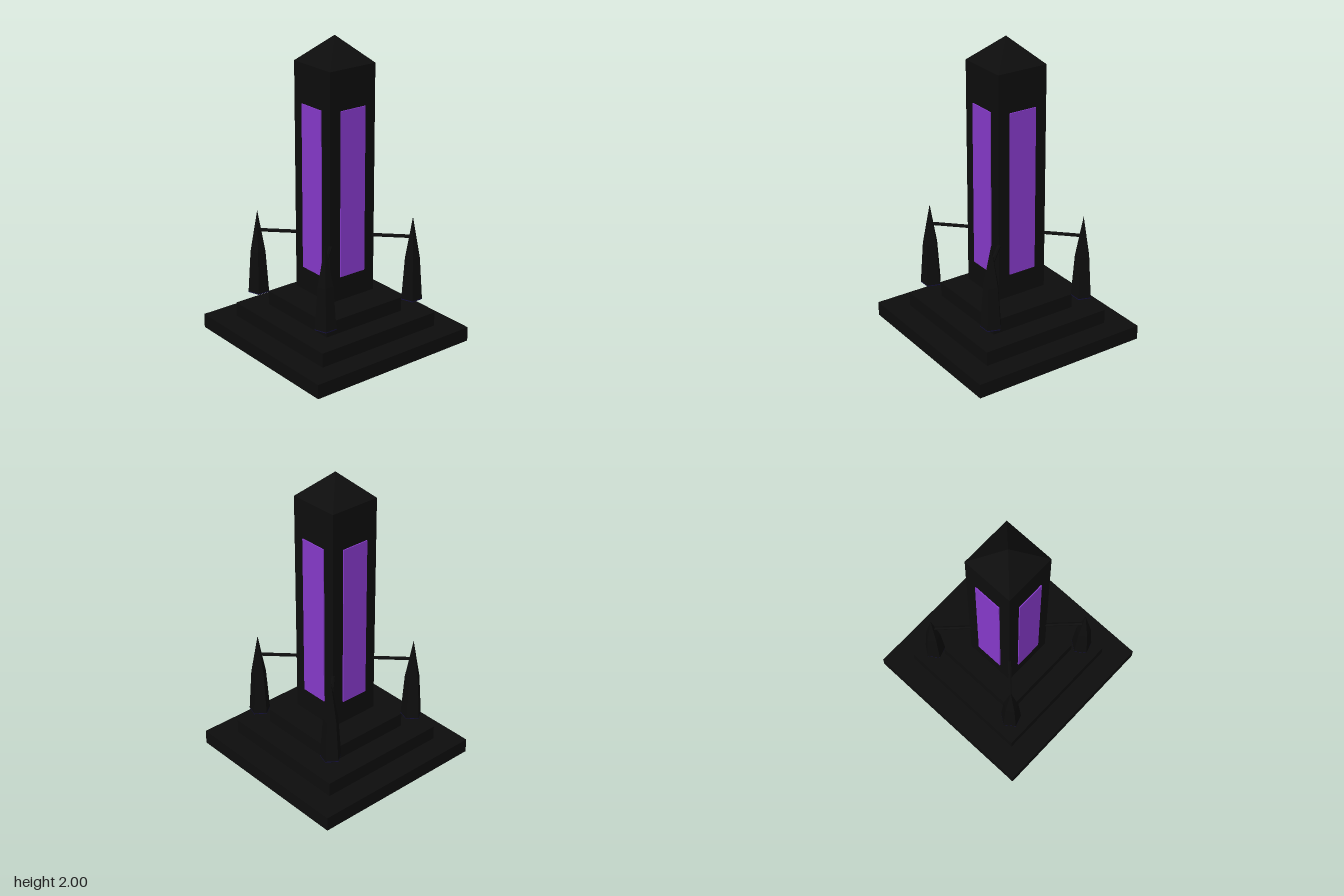
import * as THREE from 'three';

export function createModel() {
  const model = new THREE.Group();
  model.name = 'obelisk';

  const material = (name, color) => {
    const m = new THREE.MeshStandardMaterial({ color, flatShading: true });
    m.name = name;
    return m;
  };
  const black = material('black stone', 0x0d0d0d);
  const purple = material('glowing purple', 0x873acc);
  const navy = material('dark navy', 0x14103c);

  const add = (parent, name, geometry, mat, x = 0, y = 0, z = 0) => {
    const mesh = new THREE.Mesh(geometry, mat);
    mesh.name = name;
    mesh.position.set(x, y, z);
    parent.add(mesh);
    return mesh;
  };

  // Stepped base
  const stepHeight = 0.095;
  [1.22, 0.914, 0.61].forEach((width, i) => {
    add(model, `baseStep${i + 1}`, new THREE.BoxGeometry(width, stepHeight, width), black,
      0, (i + 0.5) * stepHeight, 0);
  });

  // Floating pillar with a pyramid cap
  const half = 0.175;
  add(model, 'pillar', new THREE.BoxGeometry(half * 2, 1.5, half * 2), black, 0, 1.085, 0);
  add(model, 'pyramidCap', new THREE.ConeGeometry(half * Math.SQRT2, 0.165, 4), black, 0, 1.9175, 0)
    .rotation.y = Math.PI / 4;

  // One glowing panel on each pillar face
  const panelGeometry = new THREE.BoxGeometry(0.19, 1.085, 0.009);
  for (let i = 0; i < 4; i++) {
    const a = i * Math.PI / 2;
    add(model, `panel${i + 1}`, panelGeometry, purple,
      Math.sin(a) * 0.178, 1.0375, Math.cos(a) * 0.178).rotation.y = a;
  }

  // Four hovering five-sided spikes, each joined to the pillar by a diagonal rod
  const bodyGeometry = new THREE.CylinderGeometry(0.05, 0.07, 0.28, 5, 1, true);
  const tipGeometry = new THREE.ConeGeometry(0.05, 0.275, 5, 1, true);
  const footGeometry = new THREE.CylinderGeometry(0.07, 0.07, 0.006, 5);
  const rodGeometry = new THREE.CylinderGeometry(0.012, 0.012, 0.33, 6);
  rodGeometry.rotateX(Math.PI / 2);
  for (const sx of [-1, 1]) {
    for (const sz of [-1, 1]) {
      const spike = new THREE.Group();
      spike.name = `${sz > 0 ? 'front' : 'back'}${sx > 0 ? 'Left' : 'Right'}Spike`;
      spike.position.set(sx * 0.35, 0, sz * 0.35);
      spike.rotation.y = Math.PI;
      add(spike, 'spikeFoot', footGeometry, navy, 0, 0.288, 0);
      add(spike, 'spikeBody', bodyGeometry, black, 0, 0.431, 0);
      add(spike, 'spikeTip', tipGeometry, black, 0, 0.7085, 0);
      model.add(spike);

      add(model, 'connectingRod', rodGeometry, black, sx * 0.233, 0.712, sz * 0.233)
        .rotation.y = Math.atan2(sx, sz);
    }
  }

  return model;
}
